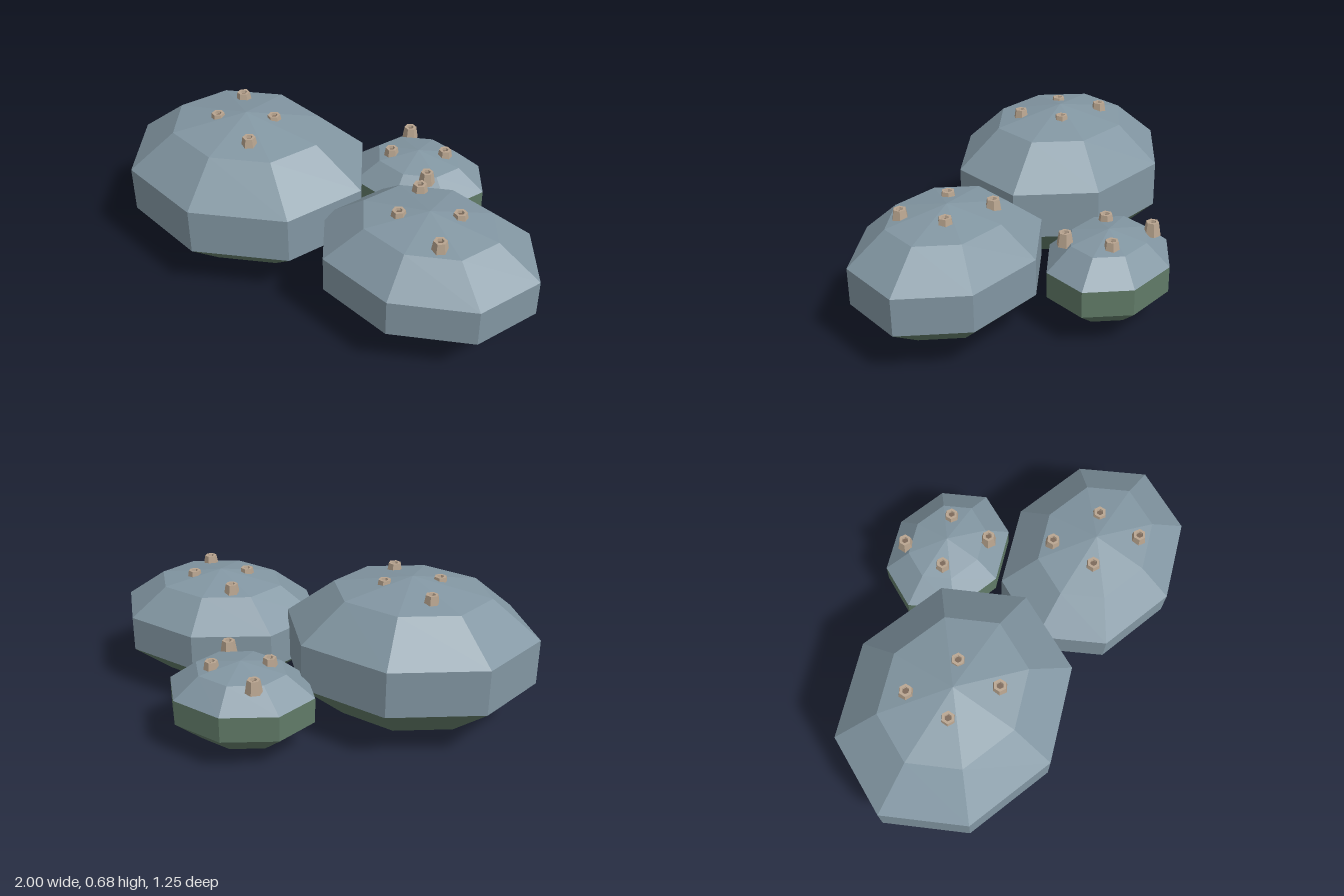
import * as THREE from 'three';

const stone = new THREE.MeshStandardMaterial({ color: 0x8296a2, flatShading: true });
const moss = new THREE.MeshStandardMaterial({ color: 0x607a67, flatShading: true });
const shell = new THREE.MeshStandardMaterial({ color: 0xb8a48f, flatShading: true });
const hollow = new THREE.MeshStandardMaterial({ color: 0x7a6656, flatShading: true });

// centre, radii, number of the five rings that are bare stone, height of the barnacle tips
const rocks = [
  { name: 'largeRock', at: [-0.43, 0.343, 0.106], r: [0.6, 0.338, 0.505], bare: 3, tip: 0.672 },
  { name: 'mediumRock', at: [0.516, 0.293, 0.233], r: [0.509, 0.263, 0.41], bare: 3, tip: 0.555 },
  { name: 'smallRock', at: [0.203, 0.2175, -0.36], r: [0.347, 0.1875, 0.282], bare: 2, tip: 0.413 },
];
const barnacleSpots = [[-0.114, -0.155], [0.112, -0.05], [-0.114, 0.052], [0.112, 0.154]];
const RING = Math.PI / 5;

// Part of a squashed low-poly sphere, from one ring to another
function rockBand(name, rock, from, to, material) {
  const geo = new THREE.SphereGeometry(1, 8, to - from, 0, Math.PI * 2, from * RING, (to - from) * RING);
  geo.scale(...rock.r);
  const mesh = new THREE.Mesh(geo, material);
  mesh.name = name;
  return mesh;
}

// Tapered six-sided shell with a hollow mouth
function barnacle() {
  const group = new THREE.Group();
  group.name = 'barnacle';
  const profile = [[0.038, -0.06], [0.028, 0], [0.016, 0], [0.013, -0.015]].map(p => new THREE.Vector2(...p));
  const wall = new THREE.Mesh(new THREE.LatheGeometry(profile, 6), shell);
  wall.name = 'barnacleShell';
  const mouth = new THREE.Mesh(new THREE.CircleGeometry(0.015, 6).rotateX(-Math.PI / 2), hollow);
  mouth.name = 'barnacleMouth';
  mouth.position.y = -0.012;
  group.add(wall, mouth);
  return group;
}

export function createModel() {
  const model = new THREE.Group();
  model.name = 'rockCluster';
  for (const rock of rocks) {
    const group = new THREE.Group();
    group.name = rock.name;
    group.position.set(...rock.at);
    group.add(rockBand('bareStone', rock, 0, rock.bare, stone));
    group.add(rockBand('mossyBase', rock, rock.bare, 5, moss));
    for (const [x, z] of barnacleSpots) {
      const b = barnacle();
      b.position.set(x, rock.tip - rock.at[1], z);
      group.add(b);
    }
    model.add(group);
  }
  return model;
}
